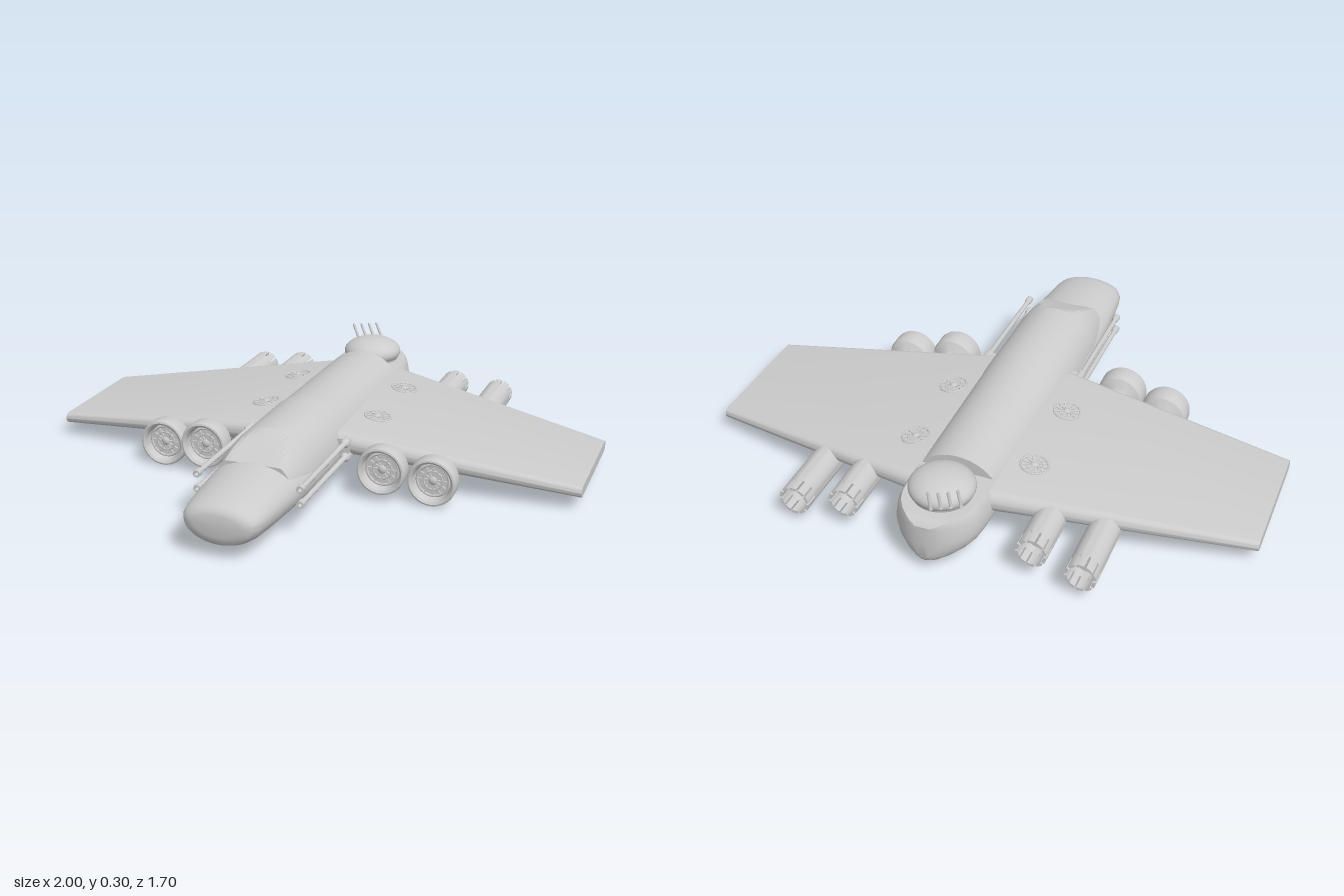
import * as THREE from 'three';
import { toCreasedNormals } from 'three/addons/utils/BufferGeometryUtils.js';

const grey = new THREE.MeshStandardMaterial({ color: 0xcccccc });
const greyTwoSided = new THREE.MeshStandardMaterial({ color: 0xcccccc, side: THREE.DoubleSide });

function add(parent, name, geometry, x = 0, y = 0, z = 0, material = grey) {
  const mesh = new THREE.Mesh(geometry, material);
  mesh.name = name;
  mesh.position.set(x, y, z);
  parent.add(mesh);
  return mesh;
}

// Skin over closed rings of equal length, with both ends capped
function loft(rings, crease = 0.55) {
  const n = rings[0].length;
  const positions = rings.flat(2);
  const index = [];
  for (let s = 0; s < rings.length - 1; s++) {
    for (let j = 0; j < n; j++) {
      const a = s * n + j, b = s * n + (j + 1) % n;
      index.push(a, b, b + n, a, b + n, a + n);
    }
  }
  [0, rings.length - 1].forEach((s, end) => {
    const centre = positions.length / 3;
    for (let k = 0; k < 3; k++) positions.push(rings[s].reduce((t, p) => t + p[k], 0) / n);
    for (let j = 0; j < n; j++) {
      const a = s * n + j, b = s * n + (j + 1) % n;
      index.push(centre, end ? a : b, end ? b : a);
    }
  });
  const geometry = new THREE.BufferGeometry();
  geometry.setAttribute('position', new THREE.Float32BufferAttribute(positions, 3));
  geometry.setIndex(index);
  return toCreasedNormals(geometry, crease);
}

// Egg-shaped fuselage ring, cut flat above the height "flat"
function bodyRing([z, w, bottom, top, flat = 1]) {
  const mid = 0.13, ring = [];
  for (let i = 0; i < 56; i++) {
    const a = i / 56 * Math.PI * 2, s = Math.sin(a);
    const y = mid + s * (s > 0 ? top - mid : mid - bottom);
    ring.push([w * Math.cos(a), Math.min(y, flat), z]);
  }
  return ring;
}

// Wing ring at x: flat top and bottom, rounded leading and trailing edges
function wingRing([x, back, front, bottom, top]) {
  const h = (top - bottom) / 2, ring = [];
  for (let i = 0; i < 32; i++) {
    const a = (i + 0.5) / 32 * Math.PI * 2, s = Math.sin(a);
    ring.push([x, (top + bottom) / 2 + h * Math.cos(a), (s > 0 ? front - h : back + h) + h * s]);
  }
  return ring;
}

// Lathe profile of [radius, z] pairs, turned around the z axis
function turned(profile, segments = 40) {
  const geometry = new THREE.LatheGeometry(profile.map(p => new THREE.Vector2(...p)), segments);
  return toCreasedNormals(geometry.rotateX(Math.PI / 2), 0.6);
}

// Bladed fan facing +z
function makeFan(name, r) {
  const fan = new THREE.Group();
  fan.name = name;
  add(fan, 'fanRim', new THREE.TorusGeometry(r * 0.92, r * 0.08, 8, 32));
  add(fan, 'fanMiddleRing', new THREE.TorusGeometry(r * 0.55, r * 0.06, 8, 28));
  add(fan, 'fanHub', new THREE.SphereGeometry(r * 0.26, 18, 12)).scale.z = 0.6;
  for (let i = 0; i < 12; i++) {
    const a = i / 12 * Math.PI * 2;
    const blade = add(fan, 'fanBlade', new THREE.BoxGeometry(r * 0.75, r * 0.1, r * 0.1),
      Math.cos(a) * r * 0.55, Math.sin(a) * r * 0.55, 0);
    blade.rotation.z = a;
  }
  return fan;
}

function makeEngine(x, y, front, back) {
  const engine = new THREE.Group();
  engine.name = 'engine';
  engine.position.set(x, y, 0);
  const slot = back + 0.05;

  // Hollow tube, narrow neck and wide intake lip
  add(engine, 'engineCasing', turned([
    [0, slot + 0.03], [0.044, slot + 0.03], [0.044, slot], [0.054, slot], [0.054, front - 0.2],
    [0.046, front - 0.115], [0.046, front - 0.095], [0.062, front - 0.085], [0.08, front - 0.075],
    [0.086, front - 0.06], [0.087, front - 0.012], [0.084, front - 0.002], [0.078, front],
    [0.07, front - 0.006], [0.063, front - 0.04], [0, front - 0.04],
  ]), 0, 0, 0, greyTwoSided);
  const fan = makeFan('intakeFan', 0.062);
  fan.position.z = front - 0.032;
  engine.add(fan);

  // Slotted exhaust petals
  const count = 10, half = Math.PI / count * 0.78;
  const petal = new THREE.Shape();
  petal.absarc(0, 0, 0.054, -half, half, false);
  petal.absarc(0, 0, 0.044, half, -half, true);
  const petalGeometry = new THREE.ExtrudeGeometry(petal, { depth: 0.05, bevelEnabled: false, curveSegments: 5 });
  for (let i = 0; i < count; i++) {
    add(engine, 'exhaustPetal', petalGeometry, 0, 0, back).rotation.z = (i + 0.5) / count * Math.PI * 2;
  }
  return engine;
}

function makeTurret() {
  const turret = new THREE.Group();
  turret.name = 'tailTurret';
  turret.position.set(0, 0.21, -0.67);
  add(turret, 'turretBase', new THREE.CylinderGeometry(0.108, 0.1, 0.03, 40), 0, 0.01, 0);
  add(turret, 'turretDome', new THREE.SphereGeometry(0.113, 40, 24), 0, 0.03, 0).scale.y = 0.49;
  // Four parallel barrels, turned to one side and raised
  const direction = new THREE.Vector3(-0.09, 0.042, -0.155).normalize();
  for (let i = 0; i < 4; i++) {
    const tip = new THREE.Vector3(-0.128 + i * 0.028, 0.086, -0.135 - i * 0.015);
    const barrel = add(turret, 'turretBarrel', new THREE.CylinderGeometry(0.0055, 0.0055, 0.18, 10));
    barrel.position.copy(tip).addScaledVector(direction, -0.09);
    barrel.quaternion.setFromUnitVectors(new THREE.Vector3(0, 1, 0), direction);
  }
  return turret;
}

export function createModel() {
  const model = new THREE.Group();
  model.name = 'aircraft';

  // Lower hull with flat tail deck and blunt nose: z, half width, bottom, top, flat cut
  add(model, 'hull', loft([
    [-0.832, 0.03, 0.06, 0.26, 0.19], [-0.824, 0.055, 0.045, 0.28, 0.2], [-0.81, 0.078, 0.036, 0.29, 0.208],
    [-0.785, 0.106, 0.031, 0.29, 0.21], [-0.75, 0.132, 0.03, 0.29, 0.21], [-0.71, 0.147, 0.03, 0.29, 0.21],
    [-0.66, 0.153, 0.03, 0.29, 0.21], [-0.55, 0.156, 0.03, 0.28, 0.21], [-0.2, 0.163, 0.03, 0.25, 0.21],
    [0.3, 0.166, 0.03, 0.23], [0.45, 0.163, 0.03, 0.228], [0.56, 0.156, 0.03, 0.224],
    [0.7, 0.145, 0.032, 0.211], [0.78, 0.137, 0.038, 0.201], [0.815, 0.13, 0.045, 0.193],
    [0.835, 0.119, 0.054, 0.184], [0.846, 0.1, 0.07, 0.172], [0.85, 0.08, 0.085, 0.16],
  ].map(bodyRing)), 0, 0, 0);

  // Raised spine ending in a flat sloping windscreen
  add(model, 'spineAndCockpit', loft([
    [-0.55, 0.156, 0.05, 0.27], [0.0, 0.162, 0.04, 0.28], [0.06, 0.163, 0.04, 0.288],
    [0.4, 0.161, 0.04, 0.29], [0.45, 0.156, 0.05, 0.287, 0.268],
    [0.5, 0.15, 0.05, 0.277, 0.247], [0.56, 0.142, 0.05, 0.255, 0.22],
  ].map(bodyRing), 0.3));

  // One wing panel across both sides: x, back, front, bottom, top
  add(model, 'wings', loft([
    [-1, -0.405, 0.075, 0.05, 0.09], [-0.12, -0.632, 0.166, 0.125, 0.205],
    [0.12, -0.632, 0.166, 0.125, 0.205], [1, -0.405, 0.075, 0.05, 0.09],
  ].map(wingRing), 0.5));

  model.add(makeTurret());

  for (const side of [-1, 1]) {
    model.add(makeEngine(side * 0.335, 0.115, 0.245, -0.742));
    model.add(makeEngine(side * 0.51, 0.09, 0.22, -0.765));

    // Lift fans on both faces of the wing
    for (const z of [-0.405, -0.08]) {
      const top = makeFan('liftFan', 0.052);
      top.position.set(side * 0.22, 0.192, z);
      top.rotation.set(-Math.PI / 2, side * 0.13, 0);
      const under = makeFan('lowerLiftFan', 0.052);
      under.position.set(side * 0.22, 0.117, z);
      under.rotation.set(Math.PI / 2, -side * 0.085, 0);
      model.add(top, under);
    }

    // Paired cannons at the wing root
    for (const y of [0.175, 0.122]) {
      const cannon = turned([
        [0, 0.1], [0.016, 0.1], [0.016, 0.18], [0.01, 0.19], [0.009, 0.575], [0.013, 0.58],
        [0.013, 0.605], [0.007, 0.605], [0.007, 0.585], [0, 0.585],
      ], 16);
      add(model, 'cannon', cannon, side * 0.184, y, 0, greyTwoSided);
    }
    add(model, 'cannonMount', new THREE.BoxGeometry(0.05, 0.075, 0.09), side * 0.17, 0.15, 0.125);
  }
  return model;
}
